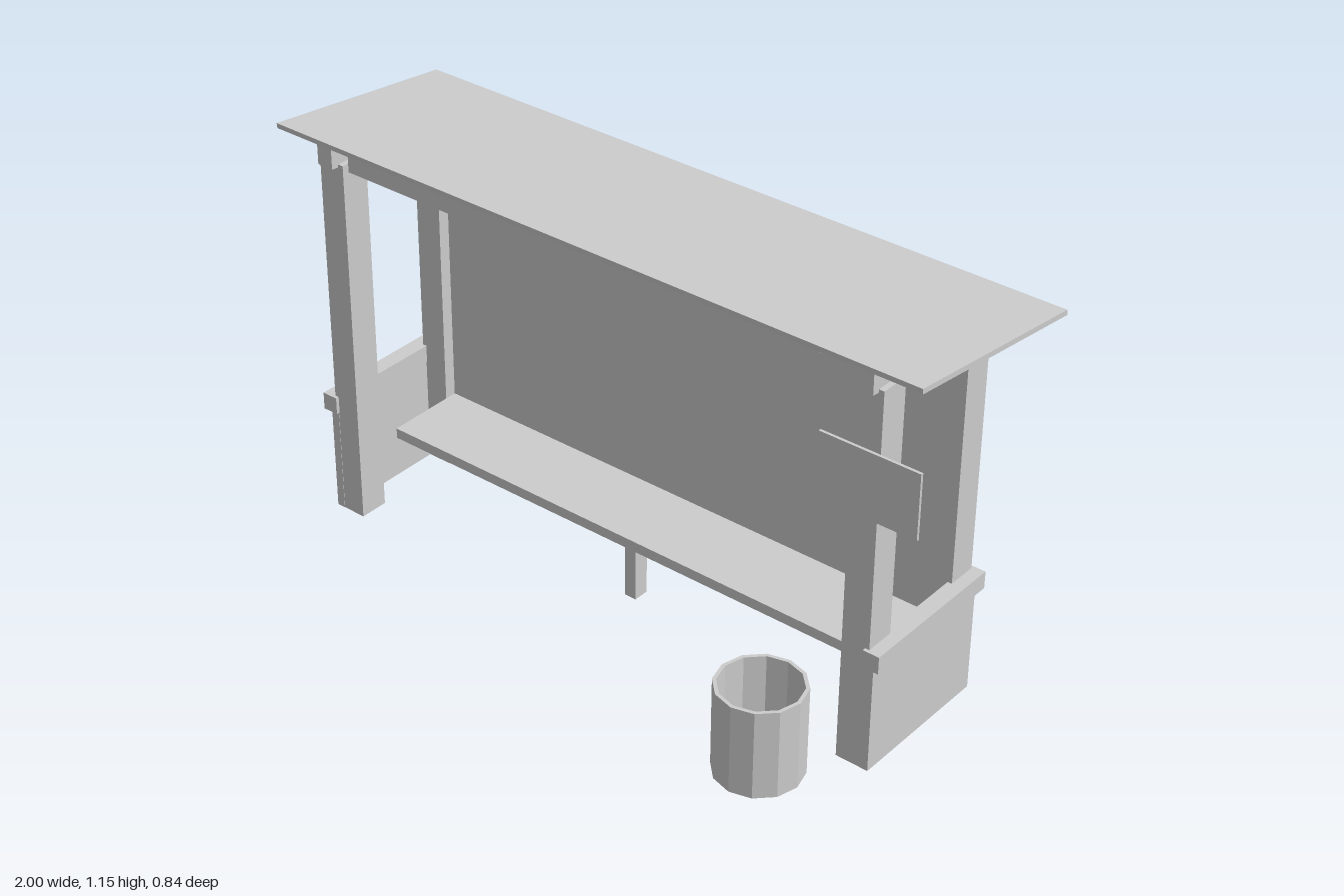
import * as THREE from 'three';

export function createModel() {
  const group = new THREE.Group();
  const grey = new THREE.MeshStandardMaterial({ color: 0xcccccc, side: THREE.DoubleSide });
  grey.name = 'plain grey';

  const add = (name, geometry) => {
    const mesh = new THREE.Mesh(geometry, grey);
    mesh.name = name;
    group.add(mesh);
    return mesh;
  };

  // Box from its limits; parts standing on the ground are open underneath
  const box = (name, x0, x1, y0, y1, z0, z1) => {
    const g = new THREE.BoxGeometry(x1 - x0, y1 - y0, z1 - z0);
    if (y0 === 0) {
      const index = Array.from(g.index.array);
      index.splice(18, 6);
      g.setIndex(index);
      g.clearGroups();
    }
    g.translate((x0 + x1) / 2, (y0 + y1) / 2, (z0 + z1) / 2);
    return add(name, g);
  };

  // Side profile of [z, y] points extruded across x
  const profile = (name, points, x0, x1) => {
    const shape = new THREE.Shape(points.map(([z, y]) => new THREE.Vector2(-z, y)));
    const g = new THREE.ExtrudeGeometry(shape, { depth: x1 - x0, bevelEnabled: false });
    g.rotateY(Math.PI / 2);
    g.translate(x0, 0, 0);
    return add(name, g);
  };

  // Sloping roof sheet
  profile('roof', [[0.174, 1.135], [-0.422, 1.065], [-0.42, 1.08], [0.176, 1.15]], -1, 1);

  // Two end frames: posts, rafter, low side wall and its rail
  for (const s of [-1, 1]) {
    const span = (a, b) => (s > 0 ? [a, b] : [-b, -a]);
    box('frontPost', ...span(0.8, 0.88), 0, 1.08, 0.06, 0.145);
    box('backPost', ...span(0.8, 0.88), 0, 1.04, -0.285, -0.2);
    profile('rafter', [[0.167, 1.074], [-0.4, 1.006], [-0.4, 1.067], [0.167, 1.134]], ...span(0.816, 0.865));
    box('sideWall', ...span(0.87, 0.895), 0, 0.335, -0.286, 0.146);
    box('sideRail', ...span(0.868, 0.915), 0.31, 0.36, -0.295, 0.155);
  }

  // Long beams and back wall
  box('frontBeam', -0.8, 0.8, 1.055, 1.12, 0.08, 0.125);
  box('backBeam', -0.8, 0.8, 1.01, 1.075, -0.265, -0.22);
  box('backWall', -0.8, 0.8, 0, 0.92, -0.262, -0.235);

  // Bench
  box('benchSeat', -0.8, 0.8, 0.185, 0.215, -0.235, 0);
  box('benchLeg', -0.018, 0.018, 0, 0.185, -0.082, -0.036);

  // Blank sign plate on the front post
  box('signPlate', 0.712, 0.996, 0.73, 0.912, 0.145, 0.153);

  // Twelve-sided bin: outer wall, rim, inner wall and floor, faceted
  const bin = new THREE.LatheGeometry(
    [[0.118, 0], [0.118, 0.257], [0.108, 0.257], [0.108, 0.08], [0, 0.08]].map(([r, y]) => new THREE.Vector2(r, y)), 12
  ).toNonIndexed();
  bin.computeVertexNormals();
  add('bin', bin).position.set(0.683, 0, 0.303);

  return group;
}
